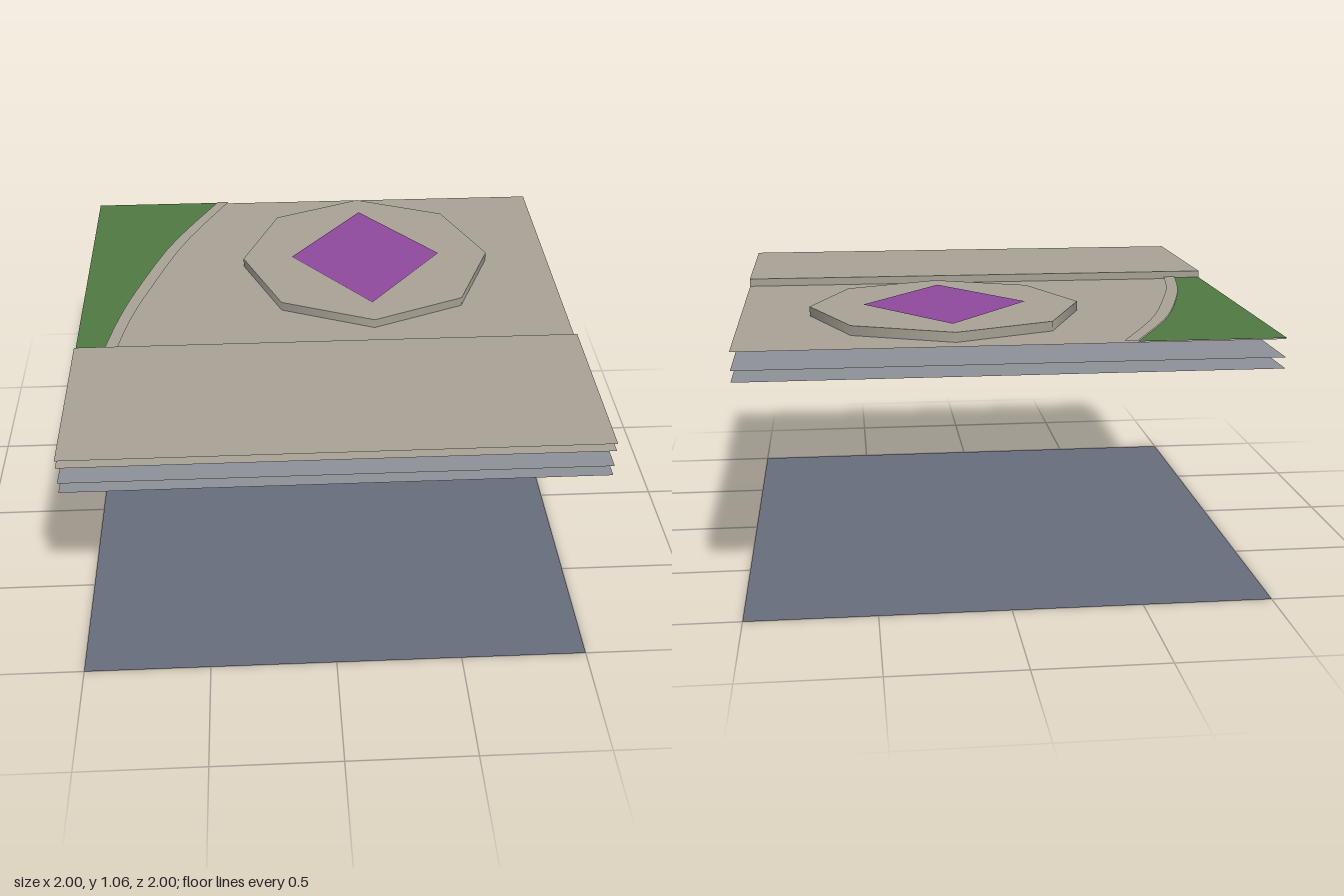
import * as THREE from 'three';

const paint = (name, color) => {
  const m = new THREE.MeshStandardMaterial({ color, side: THREE.DoubleSide });
  m.name = name;
  return m;
};

export function createModel() {
  const group = new THREE.Group();
  const paving = paint('warm stone', 0xa8a296);
  const grass = paint('grass green', 0x4f7942);
  const accent = paint('purple', 0x8e4a9e);
  const slate = paint('slate blue', 0x686d7d);
  const concrete = paint('pale grey', 0x8e9199);

  const add = (name, geometry, material, x = 0, y = 0, z = 0) => {
    const mesh = new THREE.Mesh(geometry, material);
    mesh.name = name;
    mesh.position.set(x, y, z);
    group.add(mesh);
    return mesh;
  };

  // Horizontal sheet from an outline of [x, z] points
  const sheet = (name, outline, y, material) => {
    const shape = new THREE.Shape(outline.map(([x, z]) => new THREE.Vector2(x, -z)));
    return add(name, new THREE.ShapeGeometry(shape).rotateX(-Math.PI / 2), material, 0, y, 0);
  };
  const rect = (z0, z1) => [[-1, z0], [1, z0], [1, z1], [-1, z1]];

  const stepZ = 0.27, floorY = 1.018, stepY = 1.05, daisY = 1.055;

  // Stacked full-size levels
  sheet('groundSheet', rect(-1, 1), 0, slate);
  sheet('lowerSlab', rect(-1, 1), 0.908, concrete);
  sheet('upperSlab', rect(-1, 1), 0.95, concrete);
  sheet('pavingFloor', rect(-1, 1), floorY, paving);

  // Raised front terrace and its riser
  sheet('frontTerrace', rect(stepZ, 1), stepY, paving);
  const rise = stepY - floorY;
  add('terraceRiser', new THREE.PlaneGeometry(2, rise).rotateY(Math.PI), paving, 0, floorY + rise / 2, stepZ);

  // Curved lawn in the back corner, edged by a kerb
  const curve = (points) => new THREE.SplineCurve(points.map(([x, z]) => new THREE.Vector2(x, z)))
    .getPoints(14).map((p) => [p.x, p.y]);
  const inner = curve([[-0.45, -1], [-0.65, -0.6], [-0.785, -0.2], [-0.845, 0.03], [-0.89, stepZ]]);
  const outer = curve([[-0.4, -1], [-0.595, -0.6], [-0.73, -0.2], [-0.795, 0.03], [-0.84, stepZ]]);
  sheet('lawn', [[-1, -1], ...inner, [-1, stepZ]], floorY + 0.004, grass);
  sheet('kerb', [...inner, ...outer.reverse()], floorY + 0.008, paving);

  // Octagonal dais with a diamond inlay
  const dx = 0.2, dz = -0.4, r = 0.53, h = daisY - floorY;
  add('daisRim', new THREE.CylinderGeometry(r, r, h, 8, 1, true), paving, dx, floorY + h / 2, dz);
  const octagon = Array.from({ length: 8 }, (_, i) => {
    const a = (i * Math.PI) / 4;
    return [dx + r * Math.sin(a), dz + r * Math.cos(a)];
  });
  sheet('daisTop', octagon, daisY, paving);
  sheet('diamondInlay', [[dx, dz - 0.4], [dx + 0.32, dz], [dx, dz + 0.4], [dx - 0.32, dz]], daisY + 0.004, accent);

  return group;
}
